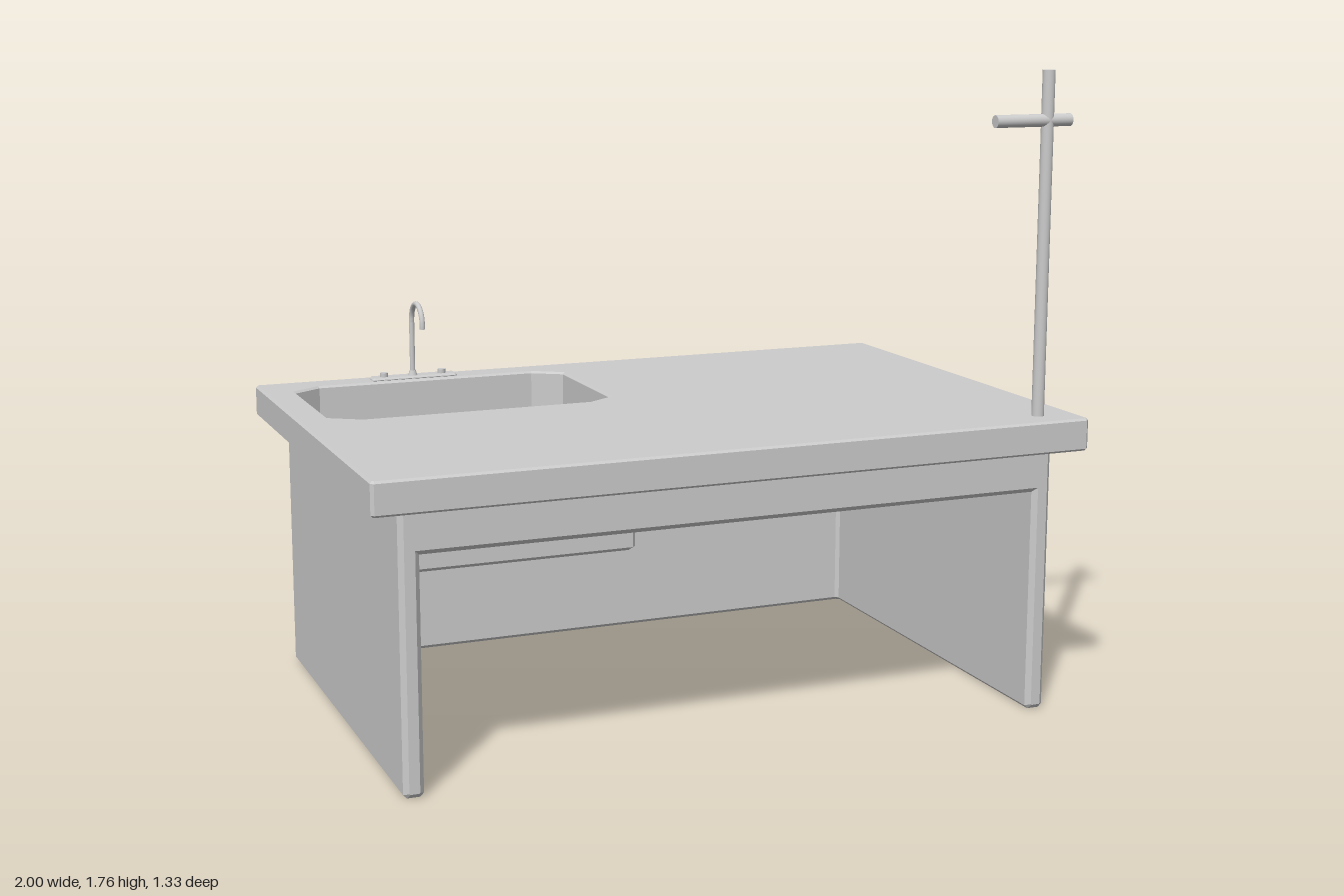
import * as THREE from 'three';

const gray = new THREE.MeshStandardMaterial({ color: 0xcccccc });

function add(parent, name, geometry, x = 0, y = 0, z = 0) {
  const mesh = new THREE.Mesh(geometry, gray);
  mesh.name = name;
  mesh.position.set(x, y, z);
  parent.add(mesh);
  return mesh;
}

// Bevelled extrusion of a 2D outline, from z = 0 to depth
function extrude(points, depth, bevel, hole) {
  const toVectors = (list) => list.map(([x, y]) => new THREE.Vector2(x, y));
  const shape = new THREE.Shape(toVectors(points));
  if (hole) shape.holes.push(new THREE.Path(toVectors(hole)));
  return new THREE.ExtrudeGeometry(shape, {
    depth: depth - 2 * bevel, bevelThickness: bevel, bevelSize: bevel,
    bevelOffset: -bevel, bevelSegments: 1,
  }).translate(0, 0, bevel);
}

// Extrude a plan drawn in (x, z) upward from y0 to y1
function extrudePlan(points, y0, y1, bevel, hole) {
  const flip = (list) => list.map(([x, z]) => [x, -z]);
  return extrude(flip(points), y1 - y0, bevel, hole && flip(hole))
    .rotateX(-Math.PI / 2).translate(0, y0, 0);
}

// Octagon around a rectangle, corners cut by cx and cz
function octagon(x0, x1, z0, z1, cx, cz) {
  return [
    [x0 + cx, z0], [x1 - cx, z0], [x1, z0 + cz], [x1, z1 - cz],
    [x1 - cx, z1], [x0 + cx, z1], [x0, z1 - cz], [x0, z0 + cz],
  ];
}

const at = (plan, y) => plan.map(([x, z]) => [x, y, z]);

// Faceted skin through stacked outlines; the last outline is closed by a flat cap
function loft(loops, closed = true) {
  const pos = [];
  const n = loops[0].length;
  for (let k = 0; k < loops.length - 1; k++) {
    for (let i = 0; i < (closed ? n : n - 1); i++) {
      const j = (i + 1) % n;
      const a = loops[k][i], b = loops[k][j], c = loops[k + 1][j], d = loops[k + 1][i];
      pos.push(...a, ...d, ...c, ...a, ...c, ...b);
    }
  }
  const cap = loops[loops.length - 1];
  for (let i = 1; i < n - 1; i++) pos.push(...cap[0], ...cap[i + 1], ...cap[i]);
  const geo = new THREE.BufferGeometry();
  geo.setAttribute('position', new THREE.Float32BufferAttribute(pos, 3));
  geo.computeVertexNormals();
  return geo;
}

export function createModel() {
  const model = new THREE.Group();
  model.name = 'sinkCounter';

  // Countertop with the sink opening
  const rim = octagon(-0.913, -0.094, -0.575, -0.064, 0.083, 0.054);
  const top = octagon(-1, 1, -0.665, 0.665, 0.008, 0.008).reverse();
  add(model, 'countertop', extrudePlan(top, 0.74, 0.83, 0.006, rim));

  // Base: outer walls, bottom edge, inner walls and ceiling as one skin, open at the front
  const X = 0.92, IN = 0.866, CEIL = 0.622, FRONT = 0.597, B = 0.01;
  const uLoop = (h, y) => {
    const back = h - 0.31;
    return at([
      [h, FRONT], [h, B - back], [h - B, -back],
      [B - h, -back], [-h, B - back], [-h, FRONT],
    ], y);
  };
  const section = [[X, 0.745], [X, B], [X - B, 0], [IN + B, 0], [IN, B], [IN, CEIL]];
  add(model, 'baseWalls', loft(section.map(([h, y]) => uLoop(h, y)), false));

  // Bevelled front frame around the opening
  const mirrored = section.map(([x, y]) => [-x, y]).reverse();
  add(model, 'frontFrame', extrude([...section, ...mirrored], 0.03, 0.013), 0, 0, 0.58);

  // Sink: straight upper walls and sloped lower part, above the housing
  const floor = octagon(-0.86, -0.148, -0.525, -0.117, 0, 0);
  add(model, 'basin', loft([at(rim, 0.75), at(rim, 0.71), at(floor, 0.64)]));
  const box = (d) => octagon(-0.87 + d, -0.038 - d, -0.56 + d, -0.06 - d, B, B).reverse();
  add(model, 'basinHousing', loft([at(box(0), 0.626), at(box(0), 0.394), at(box(B), 0.384)]));

  // Faucet
  const faucet = new THREE.Group();
  faucet.name = 'faucet';
  model.add(faucet);
  const plate = octagon(-0.665, -0.405, -0.64, -0.59, 0.006, 0.006);
  add(faucet, 'faucetPlate', extrudePlan(plate, 0.826, 0.838, 0.005));
  for (const x of [-0.625, -0.448]) {
    add(faucet, 'faucetKnob', new THREE.CylinderGeometry(0.012, 0.012, 0.014, 16), x, 0.843, -0.615);
  }
  add(faucet, 'spoutCollar', new THREE.CylinderGeometry(0.009, 0.014, 0.016, 16), -0.538, 0.845, -0.611);
  const V = (y, z) => new THREE.Vector3(-0.538, y, z);
  const arc = [];
  for (let i = 0; i <= 12; i++) {
    const a = Math.PI * (1 - i / 12);
    arc.push(V(1.002 + 0.058 * Math.sin(a), -0.553 + 0.058 * Math.cos(a)));
  }
  const spoutPath = new THREE.CurvePath();
  spoutPath.add(new THREE.LineCurve3(V(0.835, -0.611), V(1.002, -0.611)));
  spoutPath.add(new THREE.CatmullRomCurve3(arc));
  spoutPath.add(new THREE.LineCurve3(V(1.002, -0.495), V(0.993, -0.495)));
  add(faucet, 'spout', new THREE.TubeGeometry(spoutPath, 60, 0.008, 12));
  const tip = add(faucet, 'spoutTip', new THREE.CircleGeometry(0.008, 12), -0.538, 0.993, -0.495);
  tip.rotation.x = Math.PI / 2;

  // Upright post with crossbar
  add(model, 'post', new THREE.CylinderGeometry(0.017, 0.017, 0.94, 20), 0.889, 1.295, 0.579);
  const bar = add(model, 'crossbar', new THREE.CylinderGeometry(0.017, 0.017, 0.23, 20), 0.844, 1.632, 0.579);
  bar.rotation.z = Math.PI / 2;

  return model;
}
